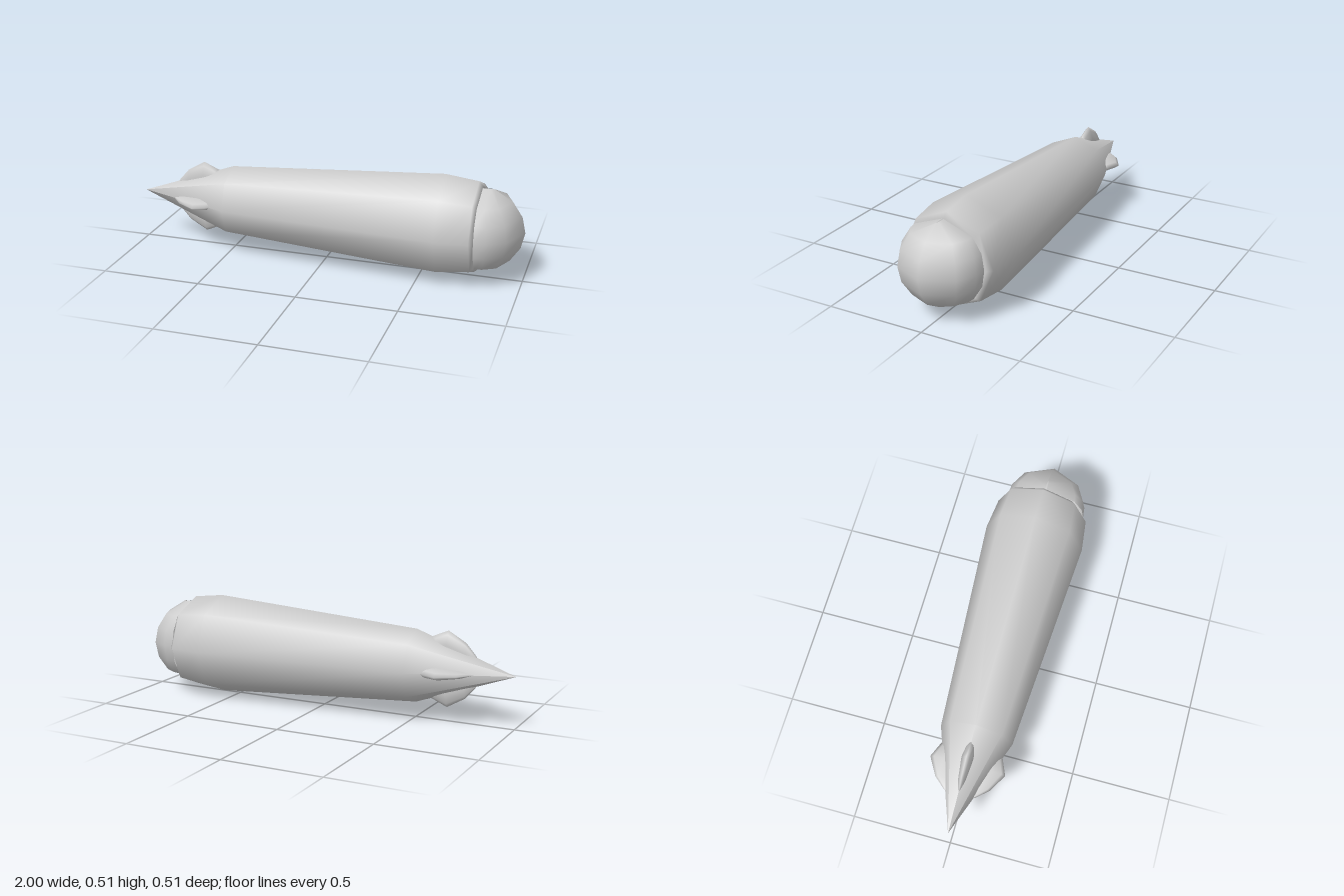
import * as THREE from 'three';

const CENTRE_Y = 0.258;

// Smooth skin over a grid of [x, y, z] rows
function skin(rows) {
  const n = rows[0].length;
  const index = [];
  for (let i = 0; i < rows.length - 1; i++) {
    for (let j = 0; j < n - 1; j++) {
      const a = i * n + j, b = a + n;
      index.push(a, b, a + 1, b, b + 1, a + 1);
    }
  }
  const geometry = new THREE.BufferGeometry();
  geometry.setAttribute('position', new THREE.Float32BufferAttribute(rows.flat(2), 3));
  geometry.setIndex(index);
  geometry.computeVertexNormals();
  return geometry;
}

export function createModel() {
  const group = new THREE.Group();
  const material = new THREE.MeshStandardMaterial({ color: 0xcccccc, side: THREE.DoubleSide });
  const add = (name, geometry) => {
    const mesh = new THREE.Mesh(geometry, material);
    mesh.name = name;
    mesh.position.y = CENTRE_Y;
    group.add(mesh);
    return mesh;
  };

  // Eight-sided hull: [radius, x] from the pointed tail to the closed front
  const profile = [[0, -1], [0.182, -0.5], [0.257, 0.6], [0.237, 0.765], [0.212, 0.786], [0, 0.788]]
    .map(([r, x]) => new THREE.Vector2(r, x));
  const hull = new THREE.LatheGeometry(profile, 8);
  hull.rotateZ(-Math.PI / 2);
  add('hull', hull);

  // Rounded nose dome: [height, reach in x, half width in z]
  const levels = [
    [-0.208, 0.055, 0.004], [-0.152, 0.148, 0.153], [-0.08, 0.197, 0.197], [0, 0.215, 0.21],
    [0.08, 0.197, 0.197], [0.152, 0.148, 0.153], [0.208, 0.055, 0.004],
  ];
  const angles = [-90, -75, -47, 0, 47, 75, 90].map(THREE.MathUtils.degToRad);
  add('noseDome', skin(levels.map(([y, rx, rz]) =>
    angles.map((a) => [0.785 + rx * Math.cos(a), y, 0.008 + rz * Math.sin(a)]))));

  // Tail fins: [x, outer edge, half thickness], repeated around the axis
  const stations = [
    [-0.82, 0.05, 0], [-0.8, 0.08, 0.008], [-0.75, 0.137, 0.018], [-0.66, 0.189, 0.028],
    [-0.6, 0.163, 0.03], [-0.565, 0.148, 0.015], [-0.55, 0.1, 0],
  ];
  const finGeometry = skin(stations.map(([x, top, w]) => [
    [x, 0.03, w], [x, top * 0.65, w], [x, top * 0.9, w * 0.55], [x, top, 0],
    [x, top * 0.9, -w * 0.55], [x, top * 0.65, -w], [x, 0.03, -w],
  ]));
  ['topFin', 'frontFin', 'bottomFin', 'backFin'].forEach((name, i) => {
    add(name, finGeometry).rotation.x = i * Math.PI / 2;
  });

  return group;
}
